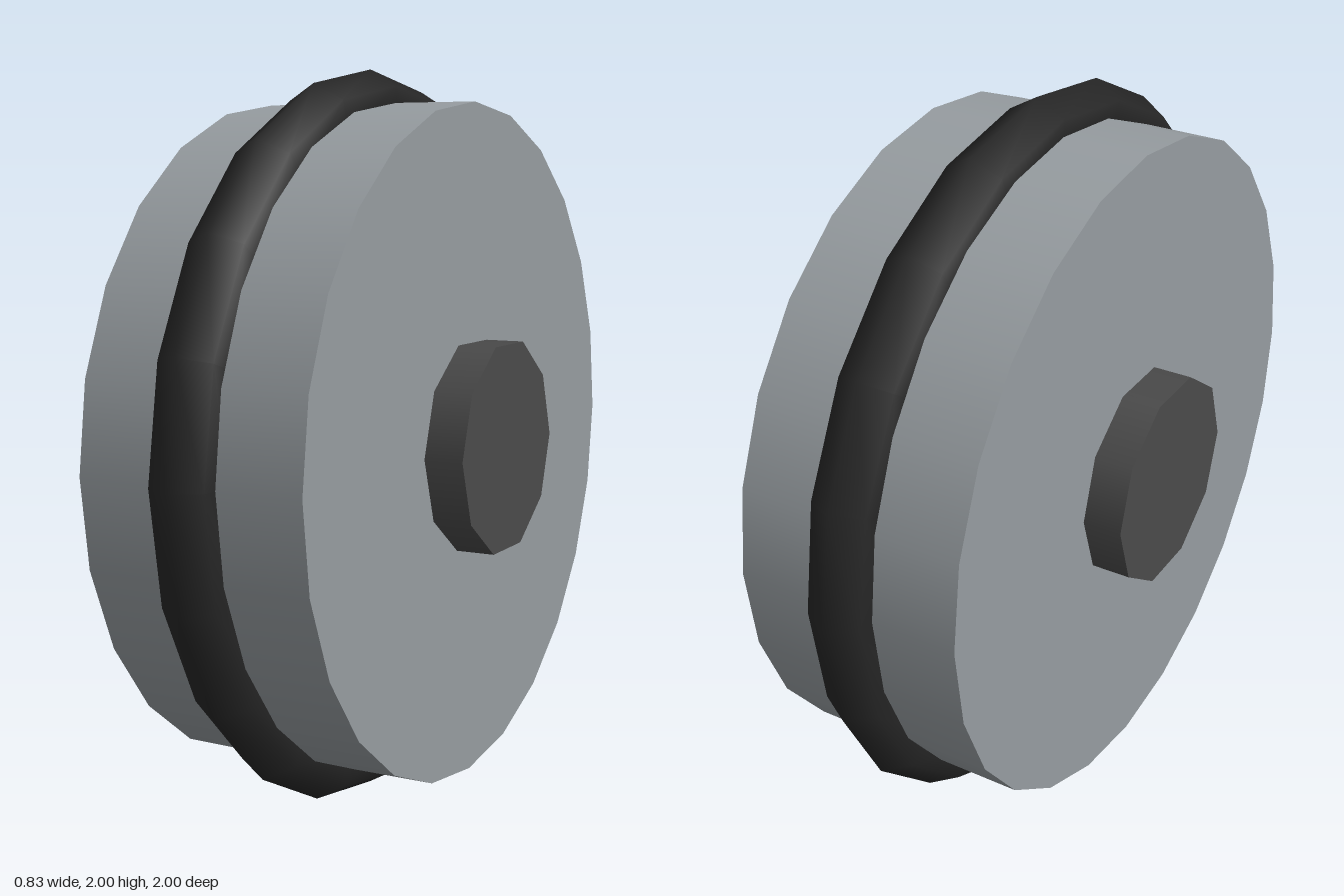
import * as THREE from 'three';

export function createModel() {
  const model = new THREE.Group();
  model.name = 'wheel';

  const add = (name, geometry, color) => {
    const mesh = new THREE.Mesh(geometry, new THREE.MeshStandardMaterial({ color }));
    mesh.name = name;
    mesh.position.y = 1;
    model.add(mesh);
  };

  // Broad wheel disc, its axis along x
  add('disc', new THREE.CylinderGeometry(0.91, 0.91, 0.62, 24).rotateZ(Math.PI / 2), 0x969ca0);

  // Axle, sticking out on both sides
  add('axle', new THREE.CylinderGeometry(0.29, 0.29, 0.834, 10).rotateZ(Math.PI / 2), 0x4a4a4a);

  // Raised hexagonal band around the middle of the rim
  add('band', new THREE.TorusGeometry(0.91, 0.09, 6, 20).rotateY(Math.PI / 2), 0x262626);

  return model;
}
